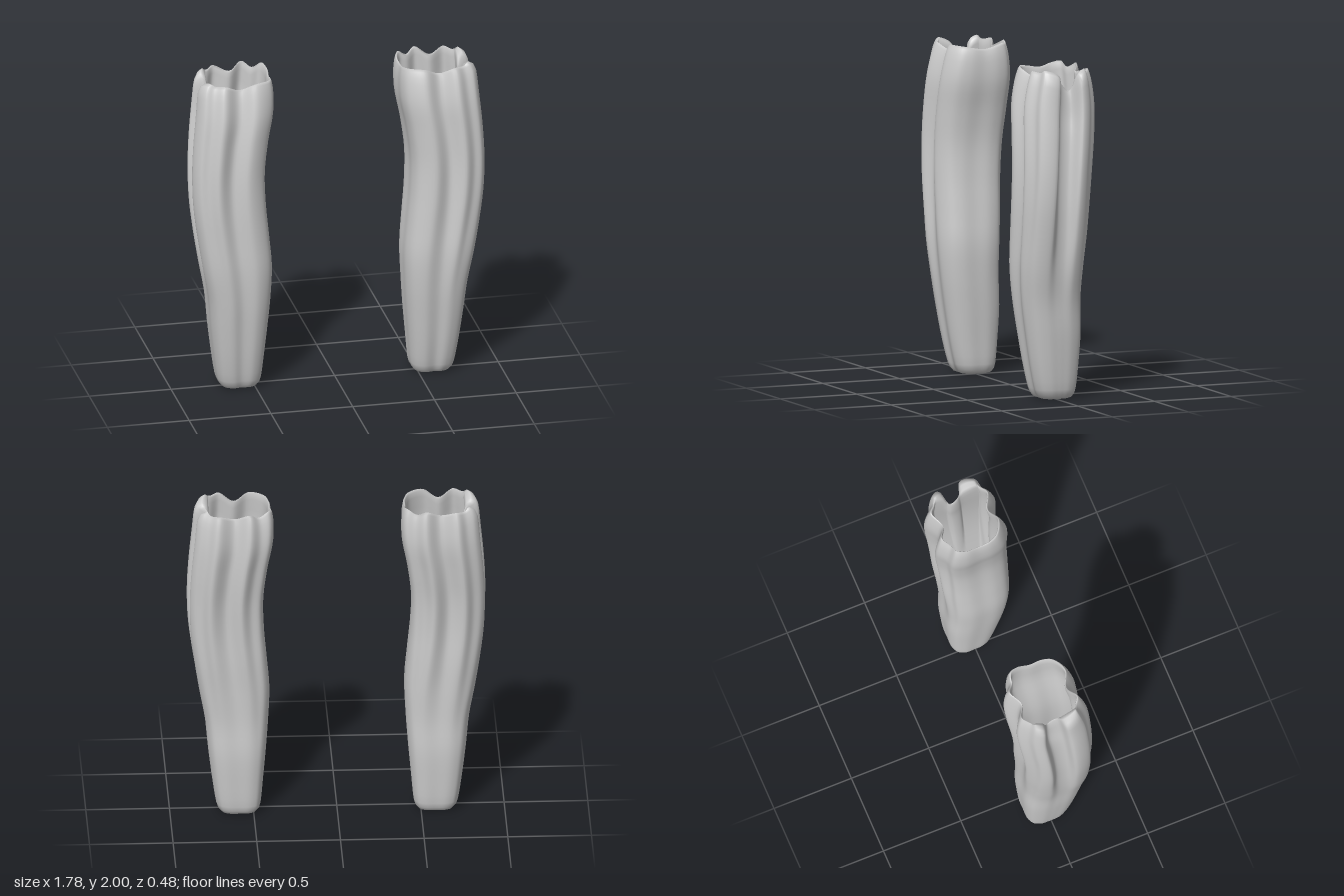
import * as THREE from 'three';

// Cross-sections with matching points, u = outward, v = forward, both in -1..1.
// Torn section: [u, v, drop of the rim]; foot section: [u, v].
const TORN = [
  [-0.95, 0, 0.03], [-0.94, 0.42, 0.02], [-0.81, 0.75, 0.01], [-0.4, 0.98, 0.01], [0, 0.8, 0.05],
  [0.4, 1, 0.01], [0.66, 0.82, 0.015], [0.88, 0.74, 0], [1, 0.3, 0.03], [0.7, 0.13, 0.08],
  [0.67, -0.2, 0.13], [0.96, -0.4, 0.03], [0.86, -0.64, 0], [0.65, -0.76, 0.02], [0.42, -0.97, 0.01],
  [0, -0.76, 0.04], [-0.38, -1, 0], [-0.64, -0.8, 0.03], [-0.88, -0.72, 0], [-0.98, -0.42, 0.01],
];
const FOOT = [
  [-0.99, 0], [-0.97, 0.45], [-0.8, 0.8], [-0.45, 0.99], [0, 0.93],
  [0.32, 1], [0.52, 0.97], [0.82, 0.8], [0.98, 0.45], [1, 0.1],
  [1, -0.12], [0.98, -0.45], [0.82, -0.8], [0.65, -0.92], [0.42, -0.99],
  [0, -0.99], [-0.42, -0.99], [-0.65, -0.92], [-0.82, -0.8], [-0.98, -0.45],
];

// Extents of the sleeve every 0.2 of height: inner x, outer x, back z, front z
const EXTENTS = [
  0.46, 0.715, -0.135, 0.105,
  0.443, 0.745, -0.15, 0.15,
  0.425, 0.77, -0.16, 0.185,
  0.41, 0.792, -0.155, 0.215,
  0.402, 0.83, -0.165, 0.235,
  0.417, 0.862, -0.18, 0.24,
  0.434, 0.885, -0.19, 0.242,
  0.438, 0.89, -0.205, 0.24,
  0.415, 0.88, -0.225, 0.235,
  0.38, 0.862, -0.235, 0.222,
  0.378, 0.845, -0.21, 0.18,
];
const extents = new THREE.CubicInterpolant(
  Float32Array.from({ length: 11 }, (_, i) => i * 0.2), Float32Array.from(EXTENTS), 4);

const SEGMENTS = 120;
function sampleLoop(points) {
  const curve = new THREE.CatmullRomCurve3(
    points.map(([u, v, d = 0]) => new THREE.Vector3(u, d, v)), true, 'centripetal');
  return Array.from({ length: SEGMENTS }, (_, j) => curve.getPoint(j / SEGMENTS));
}

// Rings in order: bottom cap, outer wall, thin rim, inner wall, cavity floor
function ringList() {
  const rings = [[0, 0], [0, 0.4], [0, 0.68], [0.008, 0.84], [0.03, 0.95], [0.06, 0.99]]
    .map(([y, scale]) => ({ y, scale, inner: 0 }));
  for (let i = 1; i <= 37; i++) rings.push({ y: 0.06 + i * 0.05, scale: 1, inner: 0 });
  rings.push({ y: 1.95, scale: 0.99, inner: 0 }, { y: 1.985, scale: 0.965, inner: 0.1 },
    { y: 2, scale: 0.935, inner: 0.4 }, { y: 1.985, scale: 0.905, inner: 0.8 });
  for (let i = 0; i <= 24; i++) {
    rings.push({ y: 1.95 - i * 0.075, scale: 0.88 - i * 0.009, inner: 1 });
  }
  rings.push({ y: 0.1, scale: 0.5, inner: 1 }, { y: 0.08, scale: 0, inner: 1 });
  return rings;
}

function sleeveGeometry(side) {
  const torn = sampleLoop(TORN), foot = sampleLoop(FOOT), rings = ringList();
  const positions = [], index = [];
  const p = new THREE.Vector3();
  rings.forEach(({ y, scale, inner }, i) => {
    const [x0, x1, z0, z1] = extents.evaluate(y);
    const blend = THREE.MathUtils.smoothstep(y, 0.35, 1.5);
    const rimPull = THREE.MathUtils.smoothstep(y, 1.5, 2);
    for (let j = 0; j < SEGMENTS; j++) {
      p.lerpVectors(foot[j], torn[j], blend).multiplyScalar(scale);
      // The cavity keeps a straight wall behind the outer folds
      const u = THREE.MathUtils.lerp(p.x, Math.min(p.x, 0.64), inner);
      positions.push(
        side * ((x0 + x1) / 2 + u * (x1 - x0) / 2),
        y - torn[j].y * rimPull,
        (z0 + z1) / 2 + p.z * (z1 - z0) / 2);
      if (i === 0) continue;
      const k = (j + 1) % SEGMENTS;
      const a = (i - 1) * SEGMENTS + j, b = (i - 1) * SEGMENTS + k;
      const c = i * SEGMENTS + j, d = i * SEGMENTS + k;
      if (side > 0) index.push(a, b, c, b, d, c);
      else index.push(a, c, b, b, c, d);
    }
  });
  const geometry = new THREE.BufferGeometry();
  geometry.setAttribute('position', new THREE.Float32BufferAttribute(positions, 3));
  geometry.setIndex(index);
  geometry.computeVertexNormals();
  return geometry;
}

export function createModel() {
  const group = new THREE.Group();
  group.name = 'sleeves';
  const material = new THREE.MeshStandardMaterial({ color: 0xcccccc });
  for (const [name, side] of [['leftSleeve', 1], ['rightSleeve', -1]]) {
    const sleeve = new THREE.Mesh(sleeveGeometry(side), material);
    sleeve.name = name;
    group.add(sleeve);
  }
  return group;
}
